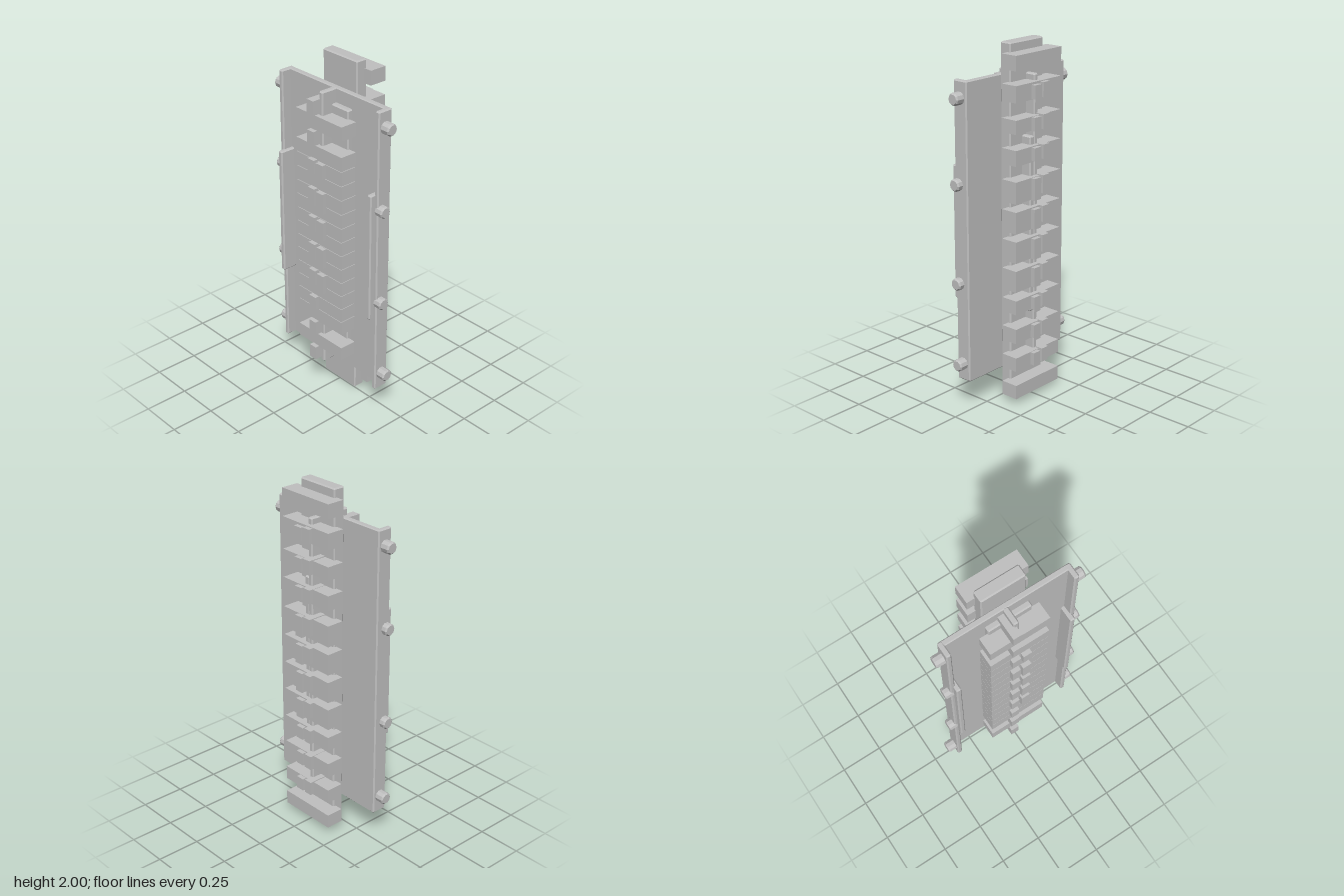
import * as THREE from 'three';
import { ConvexGeometry } from 'three/addons/geometries/ConvexGeometry.js';

const steel = new THREE.MeshStandardMaterial({ color: 0xc0c0c0 });
steel.name = 'grey steel';

export function createModel() {
  const root = new THREE.Group();
  root.name = 'slottedPanel';

  const add = (name, geometry) => {
    const mesh = new THREE.Mesh(geometry, steel);
    mesh.name = name;
    root.add(mesh);
    return mesh;
  };

  // Plain box given by its limits
  const box = (name, x0, x1, y0, y1, z0, z1) =>
    add(name, new THREE.BoxGeometry(x1 - x0, y1 - y0, z1 - z0))
      .position.set((x0 + x1) / 2, (y0 + y1) / 2, (z0 + z1) / 2);

  // Box with every edge chamfered by c
  const chamferBox = (name, x0, x1, y0, y1, z0, z1, c = 0.007) => {
    const half = [(x1 - x0) / 2, (y1 - y0) / 2, (z1 - z0) / 2];
    const points = [];
    for (const sx of [-1, 1]) for (const sy of [-1, 1]) for (const sz of [-1, 1])
      for (let full = 0; full < 3; full++) {
        const p = half.map((h, i) => (i === full ? h : h - c));
        points.push(new THREE.Vector3(sx * p[0], sy * p[1], sz * p[2]));
      }
    add(name, new ConvexGeometry(points))
      .position.set((x0 + x1) / 2, (y0 + y1) / 2, (z0 + z1) / 2);
  };

  // Main panel, spine and centre plate
  chamferBox('panel', -0.38, 0.38, 0.17, 1.83, 0, 0.032, 0.005);
  chamferBox('spine', -0.13, 0.128, 0.005, 2, -0.067, 0.002);
  chamferBox('centrePlate', -0.13, 0.128, 0.26, 1.75, 0.025, 0.062);

  // Upright ribs on both faces
  chamferBox('frontRib', -0.025, 0.006, 0.18, 1.83, 0.025, 0.126);
  chamferBox('backRib', -0.025, 0.006, 0.18, 1.83, -0.126, -0.06);
  chamferBox('backRibDoubler', 0.0, 0.035, 0.51, 1.5, -0.124, -0.06);

  // Side flanges, inner guides and bolts
  for (const s of [-1, 1]) {
    const side = (name, a, b, ...rest) =>
      chamferBox(name, Math.min(s * a, s * b), Math.max(s * a, s * b), ...rest);
    side('sideFlange', 0.355, 0.384, 0.17, 1.832, 0, 0.09);
    side('innerGuide', 0.336, 0.366, 0.63, 1.375, 0.025, 0.122);
    for (const [y, z, end] of [[1.74, 0.046, 0.436], [1.28, 0.064, 0.418],
      [0.73, 0.064, 0.418], [0.27, 0.046, 0.436]]) {
      const length = end - 0.37;
      const profile = [[0, 0], [0.034, 0], [0.034, length - 0.008], [0.027, length], [0, length]]
        .map(([r, h]) => new THREE.Vector2(r, h));
      const bolt = add('bolt', new THREE.LatheGeometry(profile, 10).toNonIndexed());
      bolt.geometry.computeVertexNormals();
      bolt.rotation.z = -s * Math.PI / 2;
      bolt.position.set(s * 0.37, y, z);
    }
  }

  // Front cross bars: a tight stack with one separate bar at each end
  const pitch = 0.083;
  for (let i = 0; i < 13; i++) {
    const y = 0.455 + i * pitch;
    box('frontBar', -0.177, 0.175, y, y + pitch - 0.003, 0.05, 0.15);
  }
  for (const y of [0.287, 1.62]) box('frontBar', -0.177, 0.175, y, y + 0.08, 0.05, 0.15);

  // Clips [bottom, top]: left column on every row, right column on the middle rows
  const rows = [[0.21, 0.29], [0.375, 0.457], [0.54, 0.62], [0.7, 0.79], [0.86, 0.955],
    [1.03, 1.12], [1.19, 1.29], [1.38, 1.457], [1.54, 1.62], [1.71, 1.79]];
  rows.forEach(([y0, y1], i) => {
    box('frontClip', -0.06, -0.01, y0, y1, 0.035, 0.176);
    if (i > 2 && i < 8) box('frontClip', 0.005, 0.056, y0 - (i < 7 ? 0.027 : 0.01), y1 - 0.007, 0.035, 0.176);
    box('backClip', -0.06, -0.01, y0, y1, -0.176, -0.05);
    box('backClip', 0.005, 0.056, y0 - (i > 2 && i < 7 ? 0.027 : 0), y1 - 0.007, -0.176, -0.05);
  });

  // Back cross bars, spaced along the spine
  for (const [y0, y1] of [[0.04, 0.12], [0.205, 0.285], [0.37, 0.455], [0.54, 0.62],
    [0.67, 0.79], [0.835, 0.955], [1.0, 1.12], [1.165, 1.285], [1.37, 1.455],
    [1.54, 1.615], [1.705, 1.795], [1.87, 1.95]])
    box('backBar', -0.177, 0.175, y0, y1, -0.151, -0.05);

  return root;
}
